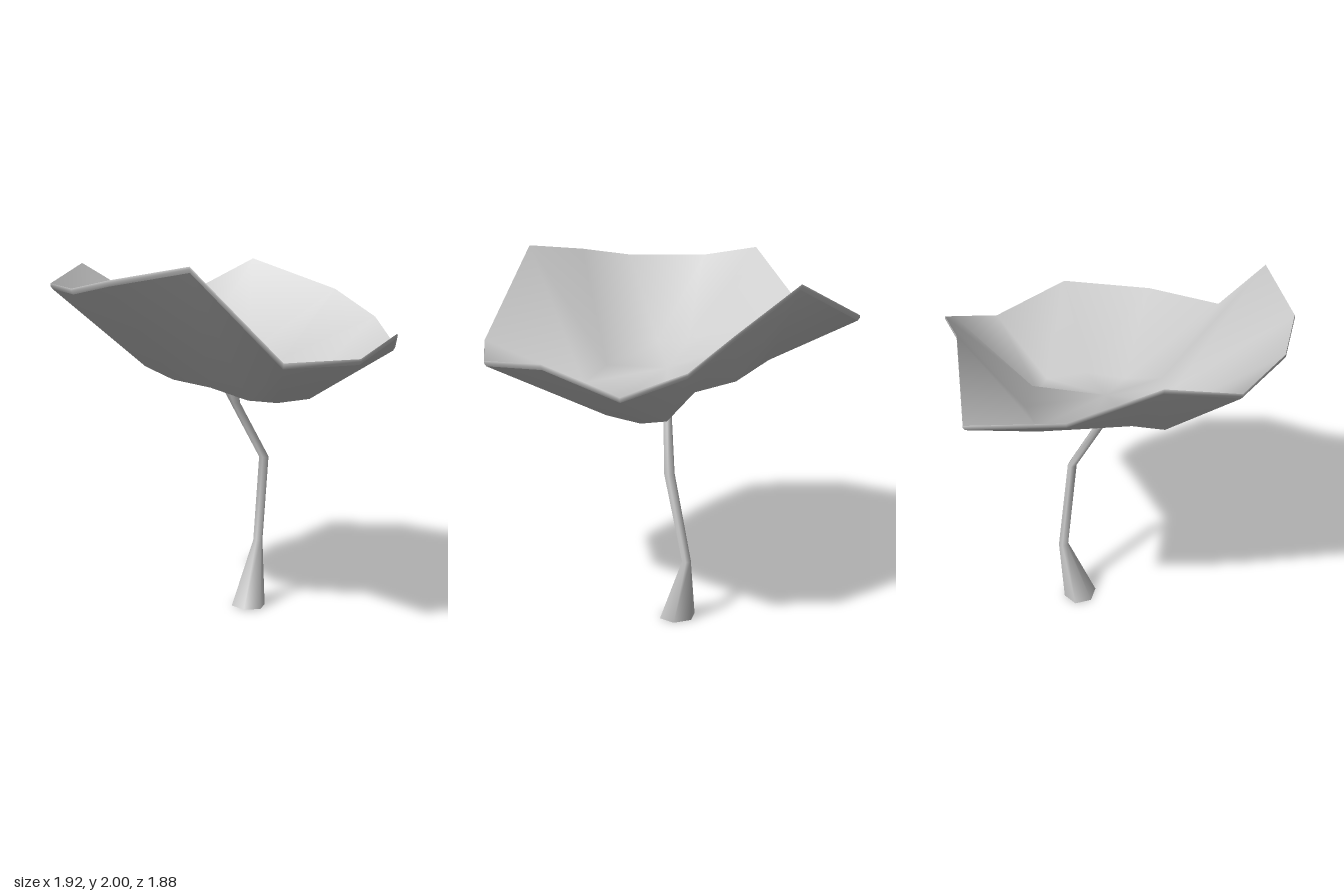
import * as THREE from 'three';

const material = new THREE.MeshStandardMaterial({ color: 0xcccccc, side: THREE.DoubleSide });

// Wavy rim of the cap, and the ring halfway to its centre, in matching order
const rim = [
  [0.19, 1.64, -0.94], [0.48, 1.51, -0.79], [0.78, 1.62, -0.47], [0.96, 1.54, 0],
  [0.86, 1.545, 0.43], [0.515, 2.0, 0.725], [0.14, 1.925, 0.935], [-0.17, 1.87, 0.935],
  [-0.58, 1.87, 0.79], [-0.77, 1.96, 0.45], [-0.82, 1.73, -0.01], [-0.965, 1.735, -0.475],
  [-0.54, 1.96, -0.64], [-0.08, 1.79, -0.88],
];
const middle = [
  [0.11, 1.25, -0.44], [0.25, 1.25, -0.43], [0.37, 1.25, -0.23], [0.36, 1.25, 0],
  [0.36, 1.285, 0.21], [0.19, 1.345, 0.32], [-0.01, 1.375, 0.41], [-0.17, 1.435, 0.47],
  [-0.32, 1.43, 0.37], [-0.43, 1.5, 0.22], [-0.48, 1.48, 0], [-0.55, 1.47, -0.24],
  [-0.3, 1.41, -0.38], [-0.05, 1.385, -0.42],
];
const centre = [-0.05, 1.39, -0.01];

function surface(name, points, faces) {
  const geometry = new THREE.BufferGeometry();
  geometry.setAttribute('position', new THREE.Float32BufferAttribute(points.flat(), 3));
  geometry.setIndex(faces.flat());
  geometry.computeVertexNormals();
  const mesh = new THREE.Mesh(geometry, material);
  mesh.name = name;
  return mesh;
}

// Joins equal closed loops of points with quads
function bands(loops, n) {
  const faces = [];
  for (let k = 0; k < loops - 1; k++) {
    for (let i = 0; i < n; i++) {
      const j = (i + 1) % n, a = k * n + i, b = k * n + j;
      faces.push([a, a + n, b], [b, a + n, b + n]);
    }
  }
  return faces;
}

// A dish: rim, middle ring and a fan to the centre, facing up or down
function dish(name, outer, inner, hub, facesUp) {
  const n = outer.length;
  const faces = bands(2, n);
  for (let i = 0; i < n; i++) faces.push([n + i, 2 * n, n + (i + 1) % n]);
  const wound = faces.map(([a, b, c]) => (facesUp ? [a, b, c] : [a, c, b]));
  return surface(name, [...outer, ...inner, hub], wound);
}

function createCap() {
  const cap = new THREE.Group();
  cap.name = 'cap';
  const raise = ([x, y, z]) => [x, y + 0.025, z];
  const rimLoop = (scale, drop) => rim.map(([x, y, z]) => [x * scale, y - drop, z * scale]);
  const lower = rimLoop(0.988, 0.03), outer = rimLoop(1, 0.012), upper = rimLoop(0.998, 0);
  cap.add(dish('capTop', upper, middle.map(raise), raise(centre), true));
  cap.add(dish('capUnderside', lower, middle, centre, false));
  cap.add(surface('capEdge', [...lower, ...outer, ...upper], bands(3, rim.length)));
  return cap;
}

// Bent stem with flared ends: x, y, z, radius along x, radius along z
function createStem() {
  const sections = [
    [-0.055, 0, -0.17, 0.105, 0.093],
    [-0.073, 0.37, -0.26, 0.026, 0.028],
    [0.015, 0.88, -0.223, 0.03, 0.026],
    [-0.035, 1.2, -0.052, 0.024, 0.028],
    [-0.07, 1.385, -0.005, 0.072, 0.06],
  ];
  const sides = 6;
  const points = [];
  for (const [x, y, z, rx, rz] of sections) {
    for (let i = 0; i < sides; i++) {
      const a = (i / sides) * Math.PI * 2;
      points.push([x + Math.cos(a) * rx, y, z + Math.sin(a) * rz]);
    }
  }
  return surface('stem', points, bands(sections.length, sides));
}

export function createModel() {
  const model = new THREE.Group();
  model.name = 'mushroom';
  model.add(createCap(), createStem());
  return model;
}
